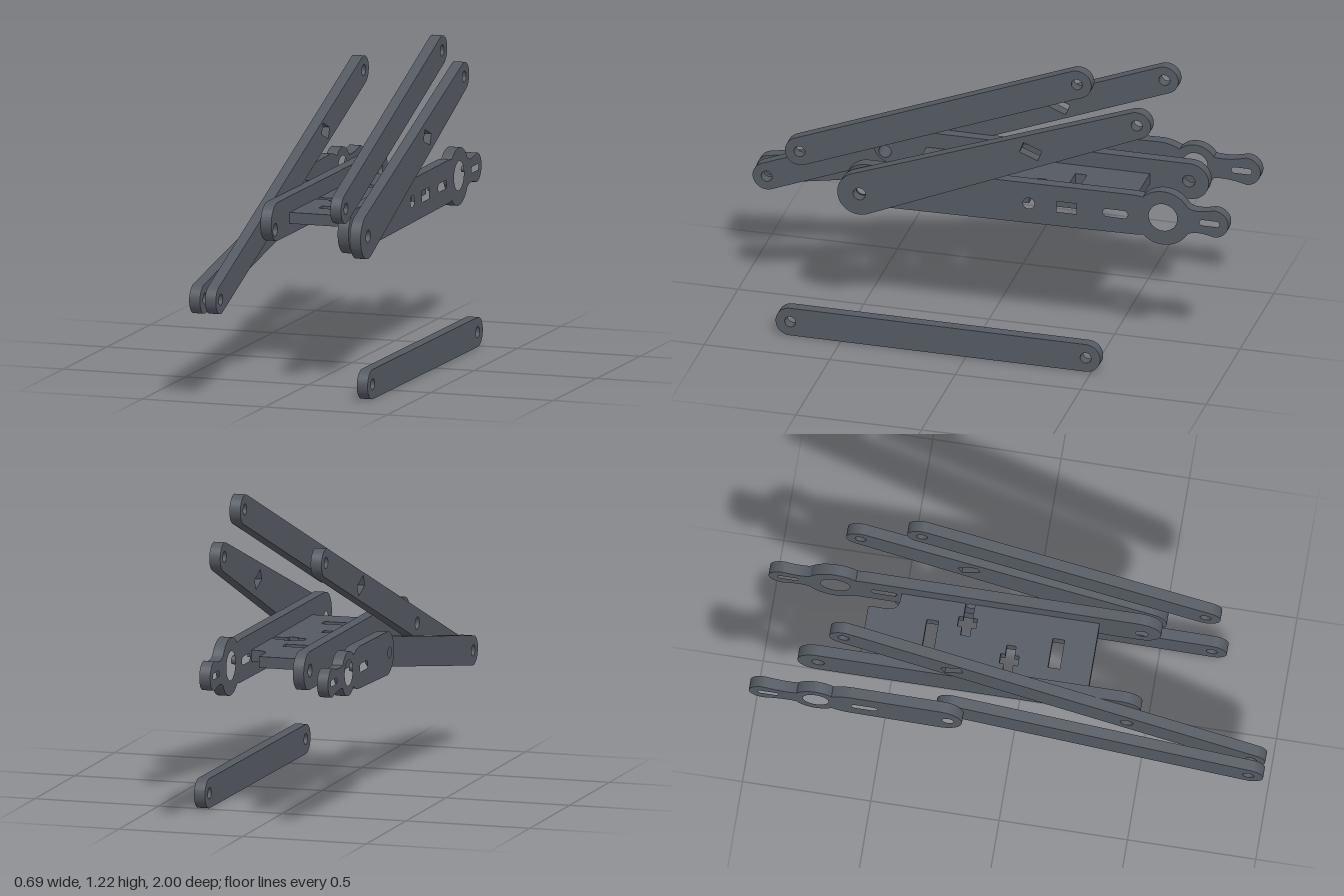
import * as THREE from 'three';

const T = 0.044; // sheet thickness

// Hole outlines
const circle = (u, v, r) => new THREE.Path().absarc(u, v, r, 0, Math.PI * 2, true);
function rect(u, v, w, h, angle = 0) {
  const c = Math.cos(angle), s = Math.sin(angle);
  return new THREE.Path([[-1, -1], [-1, 1], [1, 1], [1, -1]].map(([a, b]) =>
    new THREE.Vector2(u + a * w / 2 * c - b * h / 2 * s, v + a * w / 2 * s + b * h / 2 * c)));
}
function slot(u, v, w, h) {
  const r = h / 2, d = w / 2 - r;
  return new THREE.Path()
    .absarc(u + d, v, r, Math.PI / 2, -Math.PI / 2, true)
    .absarc(u - d, v, r, -Math.PI / 2, -Math.PI * 1.5, true);
}

// Bar with two round ends, in the (z, y) plane
function barShape([z1, y1, r1], [z2, y2, r2], holes) {
  const dz = z2 - z1, dy = y2 - y1;
  const a = Math.atan2(dy, dz), b = Math.acos((r1 - r2) / Math.hypot(dz, dy));
  const s = new THREE.Shape();
  s.absarc(z1, y1, r1, a + b, a - b + Math.PI * 2, false);
  s.absarc(z2, y2, r2, a - b, a + b, false);
  s.closePath();
  s.holes = holes;
  return s;
}

// Side arm with a ring and a slotted tip at the rear
function armShape(zFront, half, ringR, holes) {
  const y = 0.603, rz = -0.74, ry = 0.612, tz = -0.943, tr = 0.057, P = Math.PI;
  const s = new THREE.Shape();
  const at = (ang) => [rz + ringR * Math.cos(ang), ry + ringR * Math.sin(ang)];
  s.absarc(zFront - half, y, half, P / 2, -P / 2, true);
  s.lineTo(-0.6, ry - half * 0.97);
  s.quadraticCurveTo(-0.64, ry - half * 0.97, ...at(-P / 4));
  s.absarc(rz, ry, ringR, -P / 4, -P + 0.55, true);
  s.quadraticCurveTo(-0.865, ry - 0.035, tz, ry - tr);
  s.absarc(tz, ry, tr, -P / 2, -P * 1.5, true);
  s.quadraticCurveTo(-0.865, ry + 0.035, ...at(P - 0.55));
  s.absarc(rz, ry, ringR, P - 0.55, P / 4, true);
  s.quadraticCurveTo(-0.64, ry + half * 0.97, -0.6, ry + half * 0.97);
  s.closePath();
  s.holes = [slot(-0.925, ry, 0.08, 0.024), ...holes];
  return s;
}

export function createModel() {
  const model = new THREE.Group();
  const slate = new THREE.MeshStandardMaterial({ color: 0x555a62 });
  slate.name = 'slate grey';

  const extrude = (shape, depth) => new THREE.ExtrudeGeometry(shape, { depth, bevelEnabled: false, curveSegments: 20 })
    .translate(0, 0, -depth / 2);
  function upright(name, shape, x, tilt = 0) {
    const mesh = new THREE.Mesh(extrude(shape, T).rotateY(-Math.PI / 2), slate);
    mesh.name = name;
    mesh.position.x = x;
    mesh.rotation.y = tilt;
    model.add(mesh);
  }

  // Plain links with a pin hole at each end
  const link = (a, b) => barShape([...a, 0.058], [...b, 0.058], [circle(...a, 0.022), circle(...b, 0.022)]);
  upright('looseLowerLink', link([0.702, 0.059], [-0.478, 0.059]), 0.319, -0.008);
  upright('upperLink', link([0.695, 0.737], [-0.41, 1.165]), 0.202);
  upright('leverLink', link([0.94, 0.398], [-0.222, 0.602]), -0.283, -0.004);

  // Lever bars with a rectangular window
  const windowHole = () => rect(-0.227, 0.857, 0.078, 0.045, 0.376);
  upright('longLever', barShape([0.94, 0.398, 0.056], [-0.65, 1.022, 0.056],
    [circle(0.94, 0.398, 0.022), circle(0.455, 0.588, 0.025), circle(-0.65, 1.022, 0.022), windowHole()]),
    -0.211, -0.012);
  upright('shortLever', barShape([0.455, 0.588, 0.088], [-0.65, 1.022, 0.056],
    [circle(0.455, 0.588, 0.025), circle(-0.65, 1.022, 0.022), windowHole()]), 0.207);

  // Side arms
  upright('mainSideArm', armShape(0.53, 0.087, 0.113, [
    circle(0.455, 0.588, 0.025), circle(-0.205, 0.607, 0.023), circle(-0.74, 0.615, 0.057),
    rect(-0.355, 0.607, 0.08, 0.045), slot(-0.55, 0.607, 0.1, 0.032)]), 0.153);
  upright('outerSideArm', armShape(-0.17, 0.085, 0.087, [
    circle(-0.225, 0.602, 0.022), circle(-0.74, 0.615, 0.05), slot(-0.55, 0.607, 0.1, 0.032)]), -0.323);
  upright('innerSideArm', barShape([0.427, 0.618, 0.075], [-0.76, 0.618, 0.075],
    [circle(0.455, 0.59, 0.025), circle(-0.755, 0.618, 0.025)]), -0.172);

  // Base plate in the (x, z) plane: corner notch and cross-shaped slots open at the sides
  const p = new THREE.Shape();
  const sideSlot = (edge, dir, z, end, bump) => { // travels along the edge in direction dir
    const h = 0.018 * dir, k = 0.036 * dir, e = Math.sign(edge);
    [[edge, -h], [bump + 0.02 * e, -h], [bump + 0.02 * e, -k], [bump - 0.02 * e, -k], [bump - 0.02 * e, -h],
      [end, -h], [end, h], [bump - 0.02 * e, h], [bump - 0.02 * e, k], [bump + 0.02 * e, k],
      [bump + 0.02 * e, h], [edge, h]].forEach(([x, dz]) => p.lineTo(x, z + dz));
  };
  p.moveTo(-0.152, -0.6);
  p.lineTo(0.062, -0.6);
  p.lineTo(0.062, -0.53);
  p.quadraticCurveTo(0.062, -0.482, 0.11, -0.482);
  p.lineTo(0.133, -0.482);
  sideSlot(0.133, 1, -0.213, 0, 0.055);
  p.lineTo(0.133, 0.29);
  p.lineTo(-0.152, 0.29);
  sideSlot(-0.152, -1, -0.03, -0.012, -0.07);
  p.closePath();
  p.holes = [rect(-0.017, -0.346, 0.12, 0.046), rect(-0.017, 0.145, 0.12, 0.046)];
  const plate = new THREE.Mesh(extrude(p, T).rotateX(Math.PI / 2), slate);
  plate.name = 'basePlate';
  plate.position.y = 0.608;
  model.add(plate);

  return model;
}
